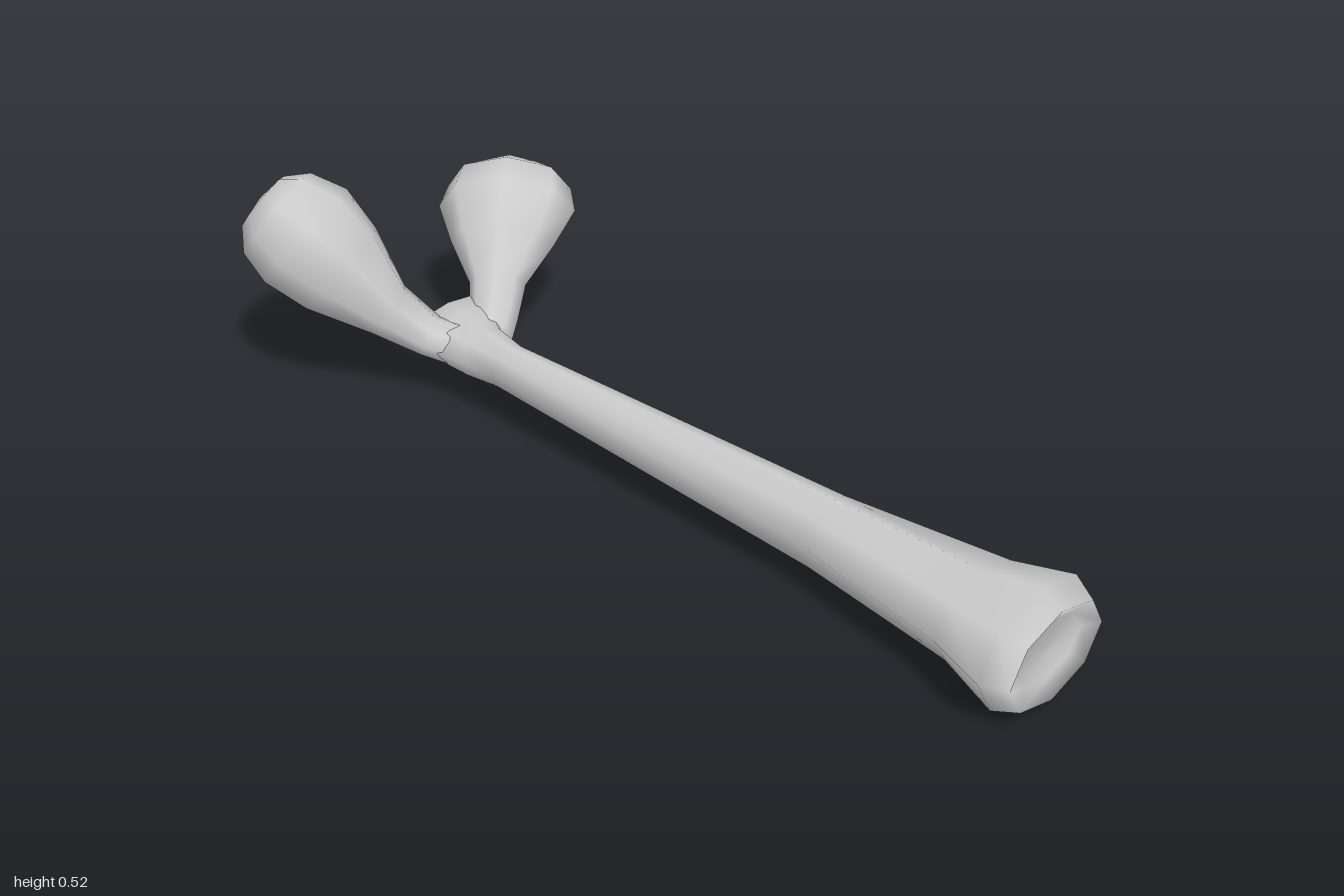
import * as THREE from 'three';

const SIDES = 8;
const material = new THREE.MeshStandardMaterial({ color: 0xcccccc });

// Lofts octagonal rings [x, y, z, halfWidth, halfHeight] along a path; zero-size rings close the ends.
function loft(name, rings, fixedDirection) {
  const centres = rings.map(([x, y, z]) => new THREE.Vector3(x, y, z));
  const up = new THREE.Vector3(0, 1, 0);
  const positions = [], index = [];
  rings.forEach(([, , , rw, rh], i) => {
    const t = fixedDirection
      ? fixedDirection.clone().normalize()
      : centres[Math.min(i + 1, rings.length - 1)].clone().sub(centres[Math.max(i - 1, 0)]).normalize();
    const u = new THREE.Vector3().crossVectors(up, t).normalize();
    const v = new THREE.Vector3().crossVectors(t, u);
    for (let k = 0; k < SIDES; k++) {
      const a = (k / SIDES) * Math.PI * 2;
      const p = centres[i].clone().addScaledVector(u, rw * Math.cos(a)).addScaledVector(v, rh * Math.sin(a));
      positions.push(p.x, p.y, p.z);
      if (i === 0) continue;
      const n = (k + 1) % SIDES, lo = (i - 1) * SIDES, hi = i * SIDES;
      index.push(lo + k, lo + n, hi + n, lo + k, hi + n, hi + k);
    }
  });
  const geometry = new THREE.BufferGeometry();
  geometry.setAttribute('position', new THREE.Float32BufferAttribute(positions, 3));
  geometry.setIndex(index);
  geometry.computeVertexNormals();
  const mesh = new THREE.Mesh(geometry, material);
  mesh.name = name;
  return mesh;
}

export function createModel() {
  const group = new THREE.Group();
  group.name = 'forkedBone';

  // Shaft: flat fork web at the back, flared head with a shallow dished face at the front
  group.add(loft('shaft', [
    [-0.02, 0.165, -0.725, 0, 0],
    [-0.02, 0.165, -0.715, 0.095, 0.03],
    [-0.02, 0.147, -0.64, 0.105, 0.058],
    [-0.03, 0.147, -0.55, 0.068, 0.057],
    [-0.025, 0.155, -0.45, 0.052, 0.05],
    [0.16, 0.133, 0.42, 0.075, 0.082],
    [0.235, 0.125, 0.77, 0.135, 0.09],
    [0.25, 0.125, 0.9, 0.172, 0.125],
    [0.255, 0.125, 0.955, 0.145, 0.1],
    [0.255, 0.125, 0.935, 0.1, 0.065],
    [0.255, 0.125, 0.93, 0, 0],
  ], new THREE.Vector3(0.2, 0, 1)));

  // Right branch: taller pear-shaped knob
  group.add(loft('rightKnob', [
    [-0.03, 0.145, -0.58, 0, 0],
    [-0.05, 0.145, -0.6, 0.05, 0.05],
    [-0.1, 0.16, -0.66, 0.055, 0.045],
    [-0.17, 0.222, -0.72, 0.075, 0.062],
    [-0.245, 0.32, -0.785, 0.13, 0.115],
    [-0.295, 0.39, -0.845, 0.15, 0.13],
    [-0.335, 0.435, -0.895, 0.125, 0.11],
    [-0.355, 0.46, -0.92, 0.075, 0.07],
    [-0.36, 0.465, -0.926, 0, 0],
  ]));

  // Left branch: lower, wider knob
  group.add(loft('leftKnob', [
    [0, 0.145, -0.58, 0, 0],
    [0.02, 0.145, -0.6, 0.05, 0.05],
    [0.06, 0.157, -0.65, 0.055, 0.05],
    [0.115, 0.2, -0.72, 0.065, 0.055],
    [0.17, 0.26, -0.785, 0.12, 0.085],
    [0.225, 0.31, -0.85, 0.16, 0.115],
    [0.265, 0.335, -0.9, 0.145, 0.1],
    [0.29, 0.35, -0.93, 0.085, 0.065],
    [0.295, 0.353, -0.936, 0, 0],
  ]));

  // Centre and rest on the ground
  const box = new THREE.Box3().setFromObject(group);
  const c = box.getCenter(new THREE.Vector3());
  group.children.forEach((m) => m.geometry.translate(-c.x, -box.min.y, -c.z));
  return group;
}
